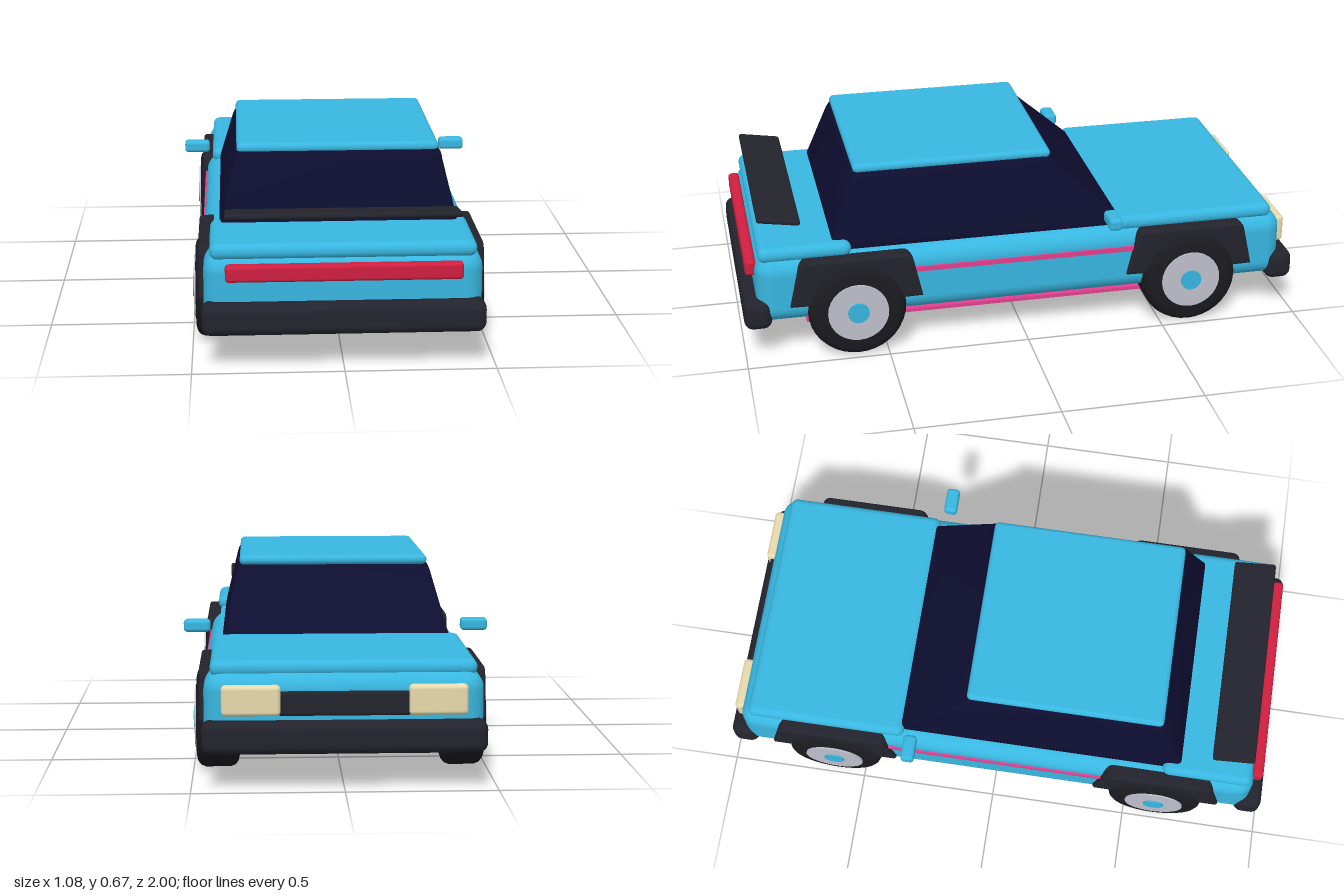
import * as THREE from 'three';
import { mergeVertices, toCreasedNormals } from 'three/addons/utils/BufferGeometryUtils.js';
import { RoundedBoxGeometry } from 'three/addons/geometries/RoundedBoxGeometry.js';

const material = (name, color) => {
  const m = new THREE.MeshStandardMaterial({ color });
  m.name = name;
  return m;
};

export function createModel() {
  const paint = material('blue paint', 0x38b6e0);
  const glass = material('dark glass', 0x0d0d30);
  const trim = material('black trim', 0x23232d);
  const rubber = material('tyre rubber', 0x1a1a20);
  const silver = material('silver rim', 0xbfbfcc);
  const pink = material('pink accent', 0xe0408f);
  const red = material('red lamp', 0xd01f3f);
  const cream = material('cream lamp', 0xeadcae);

  const car = new THREE.Group();
  car.name = 'car';

  const add = (name, geometry, mat, x = 0, y = 0, z = 0, parent = car) => {
    const mesh = new THREE.Mesh(geometry, mat);
    mesh.name = name;
    mesh.position.set(x, y, z);
    parent.add(mesh);
    return mesh;
  };
  // Rounded box given by its extents on each axis
  const block = (name, mat, [x0, x1], [y0, y1], [z0, z1], r) =>
    add(name, new RoundedBoxGeometry(x1 - x0, y1 - y0, z1 - z0, 4, r), mat,
      (x0 + x1) / 2, (y0 + y1) / 2, (z0 + z1) / 2);

  // Body shell, hood and trunk lid
  block('body', paint, [-0.458, 0.458], [0.138, 0.382], [-0.952, 0.952], 0.06);
  block('hood', paint, [-0.437, 0.437], [0.364, 0.418], [-0.917, -0.338], 0.026);
  block('trunkLid', paint, [-0.437, 0.437], [0.364, 0.418], [0.615, 0.94], 0.026);

  // Cabin: a rounded box tapered towards the roof
  let cabin = new RoundedBoxGeometry(2, 0.275, 2, 4, 0.035);
  const p = cabin.attributes.position;
  const lerp = THREE.MathUtils.lerp;
  for (let i = 0; i < p.count; i++) {
    const t = p.getY(i) / 0.275 + 0.5;
    const side = lerp(0.412, 0.347, t);
    const front = lerp(-0.396, -0.092, t);
    const rear = lerp(0.697, 0.592, t);
    p.setXYZ(i, p.getX(i) * side, 0.37 + t * 0.275, lerp(front, rear, (p.getZ(i) + 1) / 2));
  }
  cabin.deleteAttribute('normal');
  cabin.deleteAttribute('uv');
  cabin = toCreasedNormals(mergeVertices(cabin, 1e-5), 0.6);
  add('cabinGlass', cabin, glass);
  block('roof', paint, [-0.344, 0.344], [0.633, 0.668], [-0.112, 0.59], 0.017);

  // Bumpers and lamps
  for (const [name, z] of [['frontBumper', -0.951], ['rearBumper', 0.951]]) {
    block(name, trim, [-0.465, 0.465], [0.122, 0.23], [z - 0.049, z + 0.049], 0.032);
  }
  block('tailLamp', red, [-0.387, 0.387], [0.303, 0.36], [0.945, 0.984], 0.012);
  block('grille', trim, [-0.215, 0.215], [0.245, 0.325], [-0.967, -0.935], 0.01);

  // Spoiler blade, tilted up to the rear
  const spoiler = add('spoiler', new RoundedBoxGeometry(0.774, 0.02, 0.152, 3, 0.009),
    trim, 0, 0.498, 0.859);
  spoiler.rotation.x = -0.16;

  // Glowing floor panel
  add('underPanel', new THREE.BoxGeometry(0.774, 0.013, 1.55), pink, 0, 0.106, 0.003);

  // Fender: trapezoid with a wheel arch, in (z, y) around the wheel centre
  const arch = new THREE.Shape();
  const b = 0.012;
  arch.moveTo(-0.232 + b, 0.03 + b);
  arch.lineTo(-0.203 + b, 0.165);
  arch.quadraticCurveTo(-0.198 + b, 0.2 - b, -0.17, 0.2 - b);
  arch.lineTo(0.17, 0.2 - b);
  arch.quadraticCurveTo(0.198 - b, 0.2 - b, 0.203 - b, 0.165);
  arch.lineTo(0.232 - b, 0.03 + b);
  arch.lineTo(0.165, 0.03 + b);
  arch.absarc(0, 0, 0.17, 0.25, Math.PI - 0.25, false);
  const fenderGeometry = new THREE.ExtrudeGeometry(arch, {
    depth: 0.05, bevelEnabled: true, bevelSize: b, bevelThickness: b, bevelSegments: 3, curveSegments: 16,
  });
  fenderGeometry.translate(0, 0, -0.025).rotateY(-Math.PI / 2);

  // Tyre profile revolved about the axle
  const R = 0.173, H = 0.072;
  const tyreProfile = [
    [0, -H], [0.14, -H], [0.155, -H + 0.004], [0.167, -H + 0.014], [R, -H + 0.03],
    [R, H - 0.03], [0.167, H - 0.014], [0.155, H - 0.004], [0.14, H], [0, H],
  ].map(([r, y]) => new THREE.Vector2(r, y));
  const tyreGeometry = toCreasedNormals(new THREE.LatheGeometry(tyreProfile, 36).rotateZ(Math.PI / 2), 0.6);
  const rimGeometry = new THREE.CylinderGeometry(0.107, 0.107, 0.156, 28).rotateZ(Math.PI / 2);
  const hubGeometry = new THREE.CylinderGeometry(0.038, 0.038, 0.166, 16).rotateZ(Math.PI / 2);

  // Parts mirrored left and right
  for (const [label, s] of [['left', 1], ['right', -1]]) {
    const span = (a, c) => (s > 0 ? [a, c] : [-c, -a]);
    block(label + 'Headlamp', cream, span(0.208, 0.4), [0.247, 0.347], [-0.98, -0.94], 0.014);
    block(label + 'Mirror', paint, span(0.447, 0.542), [0.42, 0.464], [-0.328, -0.28], 0.013);
    add(label + 'Stripe', new THREE.BoxGeometry(0.016, 0.018, 1.1), pink, s * 0.457, 0.307, 0);

    for (const [end, z] of [['Front', -0.602], ['Rear', 0.606]]) {
      add(label + end + 'Fender', fenderGeometry, trim, s * 0.439, 0.175, z);
      const wheel = new THREE.Group();
      wheel.name = label + end + 'Wheel';
      wheel.position.set(s * 0.416, 0.174, z);
      car.add(wheel);
      add('tyre', tyreGeometry, rubber, 0, 0, 0, wheel);
      add('rim', rimGeometry, silver, 0, 0, 0, wheel);
      add('hub', hubGeometry, paint, 0, 0, 0, wheel);
    }
  }
  return car;
}
